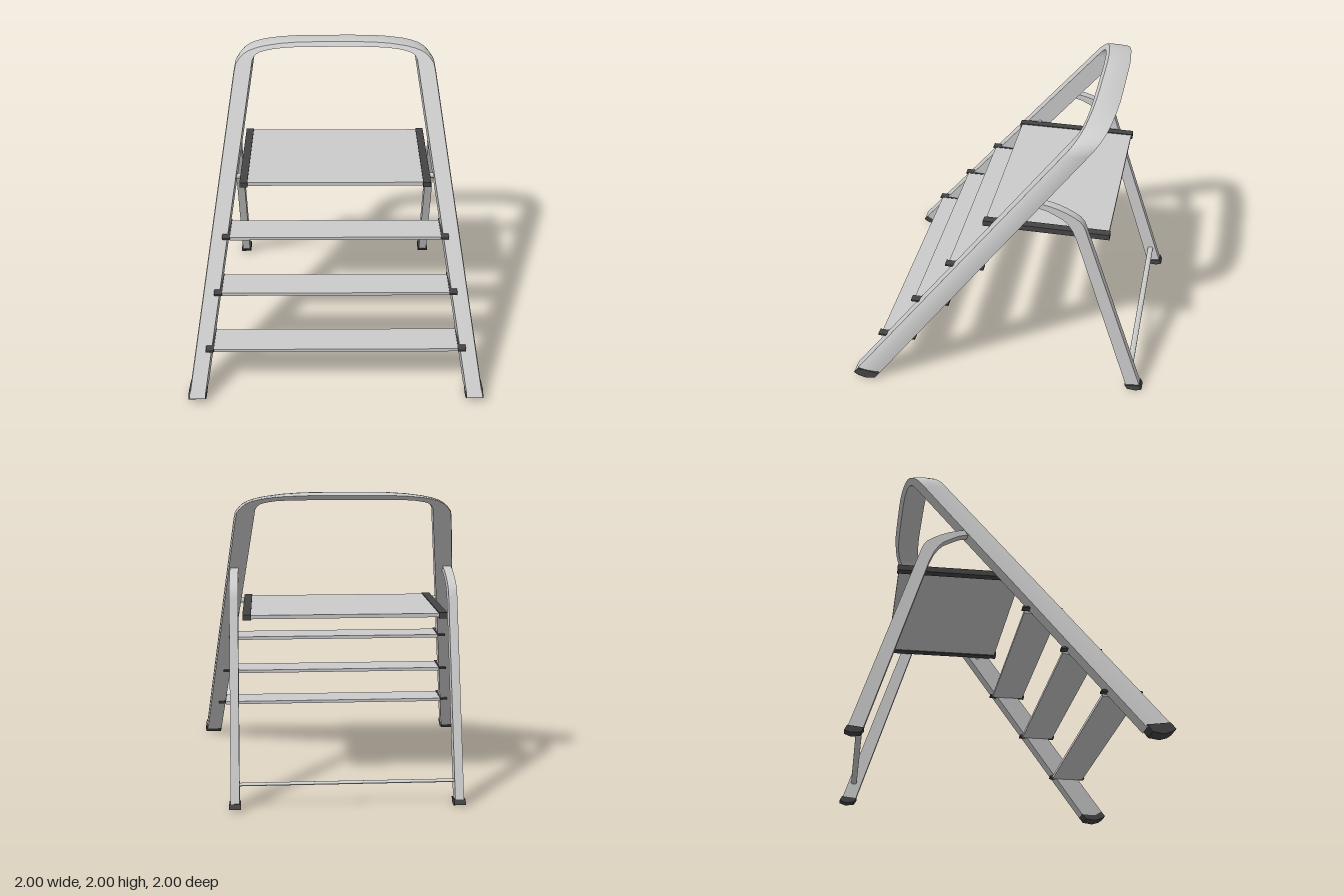
import * as THREE from 'three';
import { toCreasedNormals } from 'three/addons/utils/BufferGeometryUtils.js';

const metal = new THREE.MeshStandardMaterial({ color: 0xcccccc });
const rubber = new THREE.MeshStandardMaterial({ color: 0x444444 });

export function createModel() {
  const model = new THREE.Group();

  const add = (name, geometry, material) => {
    const mesh = new THREE.Mesh(geometry, material);
    mesh.name = name;
    model.add(mesh);
    return mesh;
  };

  // Box given by its limits on each axis
  const box = (name, [x0, x1], [y0, y1], [z0, z1], material) =>
    add(name, new THREE.BoxGeometry(x1 - x0, y1 - y0, z1 - z0), material)
      .position.set((x0 + x1) / 2, (y0 + y1) / 2, (z0 + z1) / 2);

  // Side profile of [z, y] points extruded across x, on both sides
  const sidePair = (name, points, x0, x1, material) => {
    const shape = new THREE.Shape(points.map(([z, y]) => new THREE.Vector2(z, y)));
    for (const side of [1, -1]) {
      const extruded = new THREE.ExtrudeGeometry(shape, { depth: x1 - x0, bevelEnabled: false });
      extruded.rotateY(-Math.PI / 2).translate(side > 0 ? x1 : -x0, 0, 0);
      add((side > 0 ? 'left' : 'right') + name, toCreasedNormals(extruded, 0.6), material);
    }
  };

  add('frontFrame', frameGeometry(), metal);

  sidePair('FrontFoot', [[0.998, 0.035], [0.965, 0.075], [0.817, 0.055], [0.85, 0.01],
    [0.92, 0], [0.97, 0.015]], 0.885, 1, rubber);

  // Rear legs, bent forward at the top into the frame
  sidePair('RearLeg', [[-0.985, 0.03], [-0.567, 1.305], [-0.553, 1.34], [-0.53, 1.37],
    [-0.49, 1.398], [-0.44, 1.424], [-0.39, 1.445], [-0.34, 1.46], [-0.285, 1.472], [-0.24, 1.47],
    [-0.22, 1.44], [-0.25, 1.44], [-0.32, 1.422], [-0.37, 1.397], [-0.42, 1.37],
    [-0.45, 1.34], [-0.48, 1.295], [-0.51, 1.225], [-0.888, 0.03]], 0.695, 0.752, metal);

  sidePair('RearFoot', [[-0.88, 0.035], [-0.985, 0.047], [-1, 0.015], [-0.96, 0], [-0.9, 0.005]],
    0.687, 0.761, rubber);

  // Flattened rod between the rear legs
  const rod = new THREE.CylinderGeometry(0.02, 0.02, 1.4, 16);
  rod.rotateZ(Math.PI / 2).scale(1, 0.5, 1).translate(0, 0.152, -0.905);
  add('rearRod', rod, metal);

  // Platform with dark side rails and pivot pins
  box('platform', [-0.612, 0.612], [1.195, 1.22], [-0.703, 0.112], metal);
  for (const side of [1, -1]) {
    const prefix = side > 0 ? 'left' : 'right';
    box(prefix + 'PlatformRail', side > 0 ? [0.61, 0.664] : [-0.664, -0.61],
      [1.188, 1.226], [-0.712, 0.125], rubber);
    const pin = new THREE.CylinderGeometry(0.018, 0.018, 0.09, 16);
    pin.rotateZ(Math.PI / 2).translate(side * 0.69, 1.207, -0.01);
    add(prefix + 'PlatformPin', pin, metal);
  }

  // Three steps, each with thin dark end brackets
  for (let i = 0; i < 3; i++) {
    const y = 0.295 + i * 0.3;
    const z = 0.835 - i * 0.2365;
    const half = 0.832 - i * 0.051;
    box('step', [-half, half], [y, y + 0.022], [z - 0.245, z - 0.018], metal);
    box('leftStepBracket', [half - 0.002, half + 0.052], [y + 0.013, y + 0.025], [z - 0.262, z], rubber);
    box('rightStepBracket', [-half - 0.052, -half + 0.002], [y + 0.013, y + 0.025], [z - 0.262, z], rubber);
  }
  return model;
}

// Leaning arch, lofted from inner and outer outlines; wide legs thin into the handle
function frameGeometry() {
  const half = [ // outer x, y, inner x, y
    [0.998, 0.04, 0.89, 0.04], [0.717, 1.82, 0.593, 1.84], [0.706, 1.87, 0.585, 1.89],
    [0.68, 1.903, 0.572, 1.912], [0.655, 1.925, 0.556, 1.926], [0.62, 1.945, 0.53, 1.937],
    [0.57, 1.961, 0.495, 1.945], [0.51, 1.974, 0.45, 1.953], [0.4, 1.989, 0.37, 1.961],
    [0.27, 1.998, 0.26, 1.966], [0.13, 2, 0.13, 1.967],
  ];
  const mirrored = half.map(([a, b, c, d]) => [-a, b, -c, d]).reverse();
  const stations = [...half, [0, 2, 0, 1.967], ...mirrored];

  const front = (y) => 0.995 - (y - 0.04) / 1.273;
  const back = (y) => 0.82 - (y - 0.04) / 1.293;
  // Cross-section: [0 outer / 1 inner, outward offset, 0 front .. 1 back]
  const section = [[0, -0.005, 0], [0, 0, 0.2], [0, 0, 0.45], [0, -0.005, 0.75],
    [0, -0.014, 1], [1, -0.012, 1], [1, 0, 0]];

  const rings = stations.map(([xo, yo, xi, yi]) => {
    const outward = new THREE.Vector2(xo - xi, yo - yi).normalize();
    return section.map(([inner, offset, depth]) => {
      const [x, y] = inner ? [xi, yi] : [xo, yo];
      const z = THREE.MathUtils.lerp(front(y), back(y), depth);
      return [x + outward.x * offset, y + outward.y * offset, z];
    });
  });

  const positions = [];
  for (let i = 0; i < rings.length - 1; i++) {
    for (let j = 0; j < section.length; j++) {
      const k = (j + 1) % section.length;
      const [a, b, c, d] = [rings[i][j], rings[i][k], rings[i + 1][k], rings[i + 1][j]];
      positions.push(...a, ...b, ...c, ...a, ...c, ...d);
    }
  }
  const geometry = new THREE.BufferGeometry();
  geometry.setAttribute('position', new THREE.Float32BufferAttribute(positions, 3));
  return toCreasedNormals(geometry, 0.6);
}
